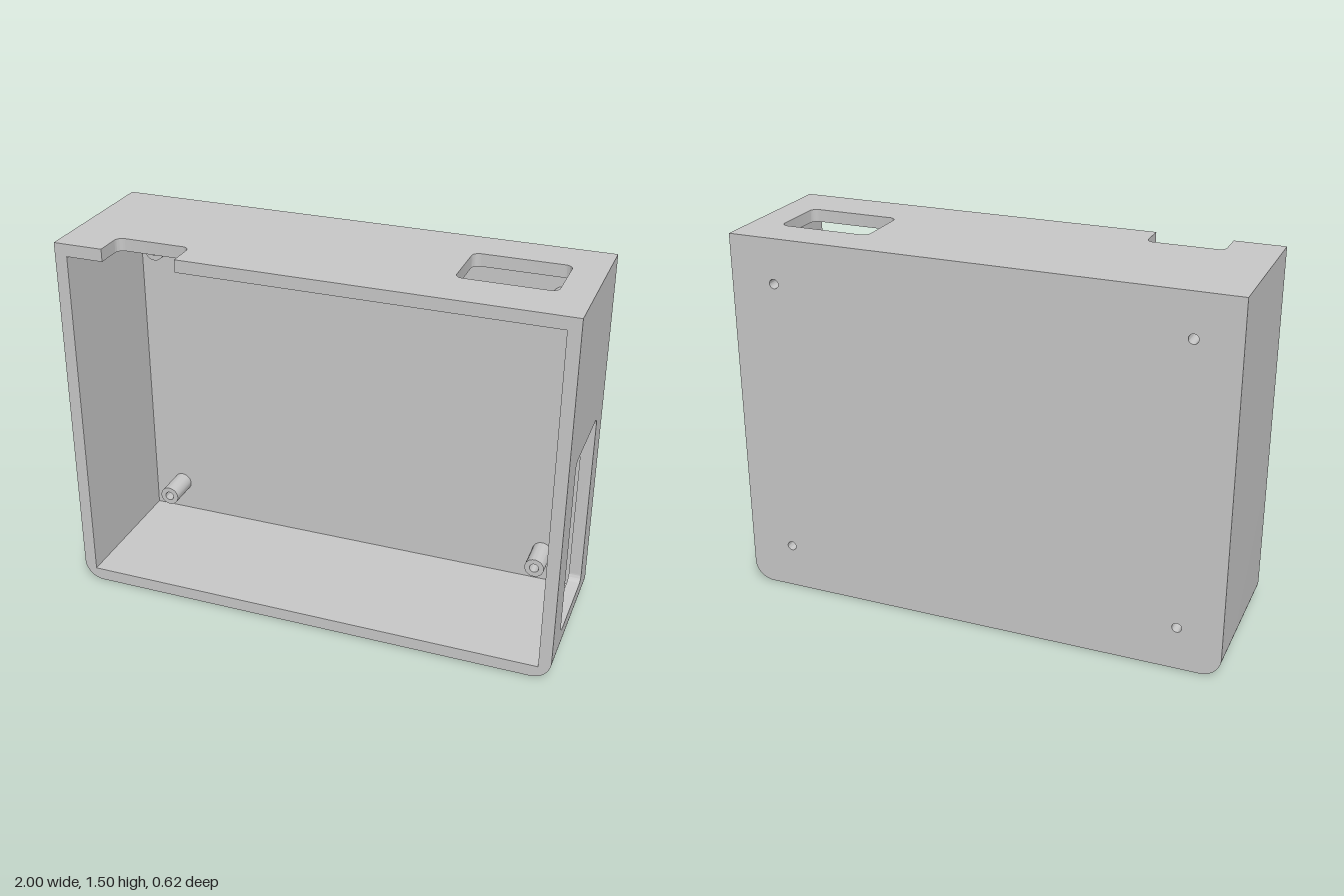
import * as THREE from 'three';
import { toCreasedNormals } from 'three/addons/utils/BufferGeometryUtils.js';

const H = 1.5, FRONT = 0.312, BACK = -0.312;
const WALL = 0.05, FLOOR = 0.04; // side walls and back panel thickness
const R = 0.08;                  // bottom outer corners
const INNER = BACK + FLOOR;

const plastic = new THREE.MeshStandardMaterial({ color: 0xc8c8c8 });
plastic.name = 'grey plastic';

function extrude(shape, depth) {
  const g = new THREE.ExtrudeGeometry(shape, { depth, bevelEnabled: false, curveSegments: 16 });
  return toCreasedNormals(g, 0.6);
}

function add(group, name, geometry) {
  const mesh = new THREE.Mesh(geometry, plastic);
  mesh.name = name;
  group.add(mesh);
}

function roundedRect(x0, y0, x1, y1, r) {
  const p = new THREE.Path();
  p.absarc(x0 + r, y0 + r, r, Math.PI, Math.PI * 1.5);
  p.absarc(x1 - r, y0 + r, r, -Math.PI / 2, 0);
  p.absarc(x1 - r, y1 - r, r, 0, Math.PI / 2);
  p.absarc(x0 + r, y1 - r, r, Math.PI / 2, Math.PI);
  p.closePath();
  return p;
}

function circle(Type, x, y, r) {
  return new Type().absarc(x, y, r, 0, Math.PI * 2);
}

// Outer outline down the -x side, round both bottom corners, ending at (1, R)
function outerU(yTop) {
  const s = new THREE.Shape();
  s.moveTo(-1, yTop);
  s.lineTo(-1, R);
  s.absarc(-1 + R, R, R, Math.PI, Math.PI * 1.5);
  s.absarc(1 - R, R, R, -Math.PI / 2, 0);
  return s;
}

export function createModel() {
  const group = new THREE.Group();
  group.name = 'enclosure';
  const posts = [[-0.823, 1.328], [0.818, 1.32], [-0.823, 0.178], [0.818, 0.185]];

  // Back panel with screw holes
  const back = outerU(H);
  back.lineTo(1, H);
  back.closePath();
  posts.forEach(([x, y]) => back.holes.push(circle(THREE.Path, x, y, 0.019)));
  add(group, 'backPanel', extrude(back, FLOOR).translate(0, 0, BACK));

  // Solid wall, floor and both rounded corners in one section
  const base = outerU(H - WALL);
  base.lineTo(1 - WALL, R);
  base.lineTo(1 - WALL, WALL);
  base.lineTo(-1 + WALL, WALL);
  base.lineTo(-1 + WALL, H - WALL);
  base.closePath();
  add(group, 'floorAndSolidWall', extrude(base, FRONT - INNER).translate(0, 0, INNER));

  // Side wall with a tall window (shape x runs towards -z)
  const side = new THREE.Shape();
  side.moveTo(-FRONT, R);
  side.lineTo(-INNER, R);
  side.lineTo(-INNER, H - WALL);
  side.lineTo(-FRONT, H - WALL);
  side.closePath();
  side.holes.push(roundedRect(-0.178, 0.127, 0.2, 0.877, 0.03));
  add(group, 'windowWall', extrude(side, WALL).rotateY(Math.PI / 2).translate(1 - WALL, 0, 0));

  // Top wall with a rounded opening and a notch in the front edge (shape y runs towards -z)
  const top = new THREE.Shape();
  const r = 0.03, notch = -0.182;
  top.moveTo(-1, -FRONT);
  top.lineTo(-0.8, -FRONT);
  top.absarc(-0.8 + r, notch - r, r, Math.PI, Math.PI / 2, true);
  top.absarc(-0.5 - r, notch - r, r, Math.PI / 2, 0, true);
  top.lineTo(-0.5, -FRONT);
  top.lineTo(1, -FRONT);
  top.lineTo(1, -INNER);
  top.lineTo(-1, -INNER);
  top.closePath();
  top.holes.push(roundedRect(0.5, -0.112, 0.873, 0.14, 0.03));
  add(group, 'topWall', extrude(top, WALL).rotateX(-Math.PI / 2).translate(0, H - WALL, 0));

  // Hollow screw posts
  posts.forEach(([x, y], i) => {
    const ring = circle(THREE.Shape, x, y, 0.04);
    ring.holes.push(circle(THREE.Path, x, y, 0.019));
    add(group, 'screwPost' + (i + 1), extrude(ring, -0.137 - INNER).translate(0, 0, INNER));
  });

  return group;
}
